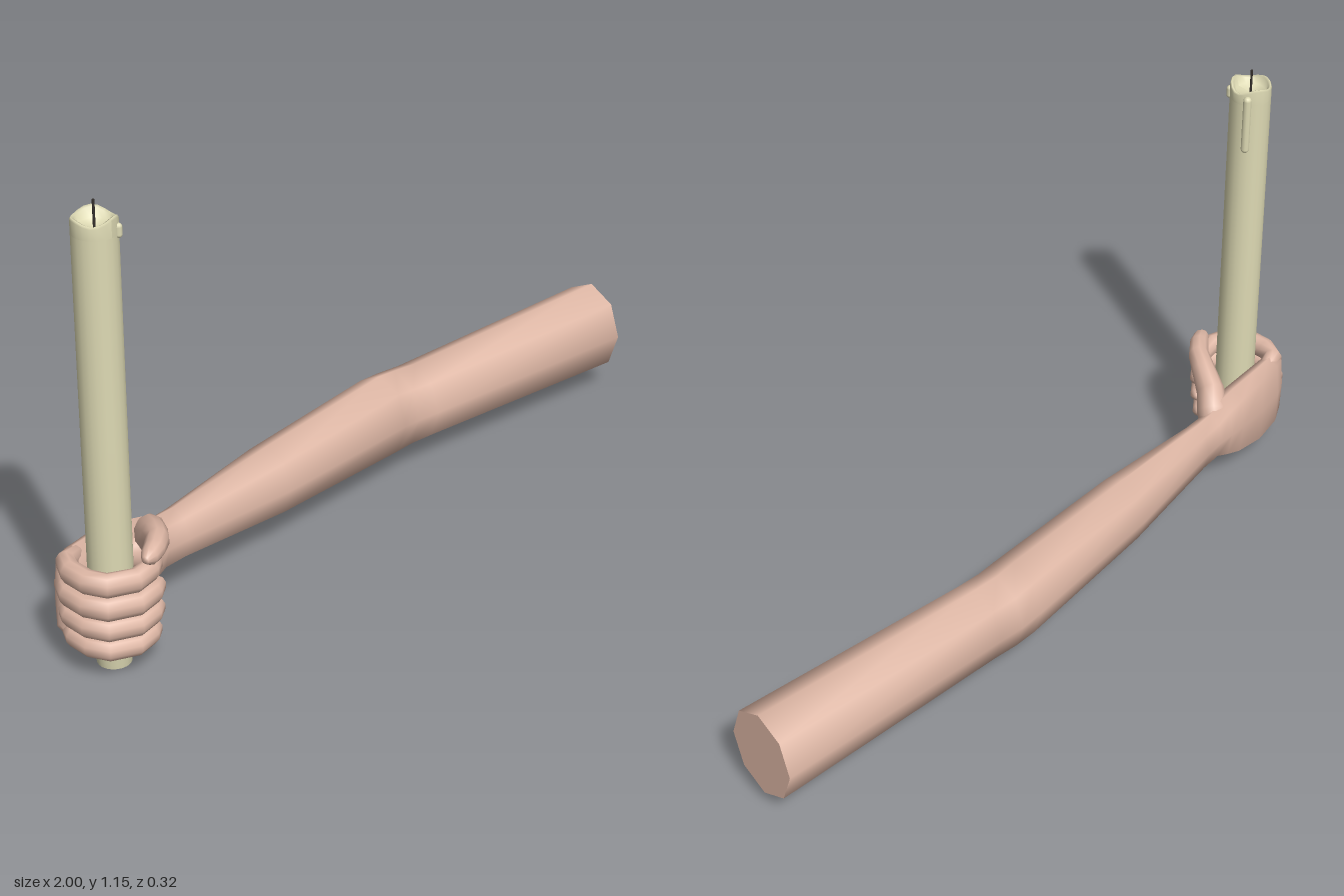
import * as THREE from 'three';

const skin = new THREE.MeshStandardMaterial({ color: 0xdfb8a6 });
skin.name = 'skin';
const wax = new THREE.MeshStandardMaterial({ color: 0xdedab4 });
wax.name = 'wax';
const wickBlack = new THREE.MeshStandardMaterial({ color: 0x35302c });
wickBlack.name = 'wick black';

const AXIS = { x: -0.882, z: 0.035 }; // candle axis

function add(parent, name, geometry, material) {
  const mesh = new THREE.Mesh(geometry, material);
  mesh.name = name;
  parent.add(mesh);
  return mesh;
}

// Skin tube through sections [x, y, z, half height, half width, squareness], with flat or shared end caps
function loft(sections, sides, flatStart = false) {
  const pos = [], index = [];
  const pts = sections.map(s => new THREE.Vector3(s[0], s[1], s[2]));
  const Y = new THREE.Vector3(0, 1, 0);
  sections.forEach((s, r) => {
    const t = pts[Math.min(r + 1, pts.length - 1)].clone().sub(pts[Math.max(r - 1, 0)]).normalize();
    const side = t.clone().cross(Y).normalize();
    const up = side.clone().cross(t);
    const bend = v => Math.abs(v) < 1e-6 ? 0 : Math.sign(v) * Math.abs(v) ** (s[5] ?? 1);
    for (let i = 0; i < sides; i++) {
      const a = i / sides * Math.PI * 2;
      const p = pts[r].clone().addScaledVector(up, s[3] * bend(Math.cos(a))).addScaledVector(side, s[4] * bend(Math.sin(a)));
      pos.push(p.x, p.y, p.z);
    }
  });
  const last = sections.length - 1;
  for (let r = 0; r < last; r++) {
    for (let i = 0; i < sides; i++) {
      const j = (i + 1) % sides, a = r * sides, b = a + sides;
      index.push(a + i, a + j, b + i, a + j, b + j, b + i);
    }
  }
  // Caps
  let ring = 0;
  if (flatStart) {
    ring = pos.length / 3;
    pos.push(...pos.slice(0, sides * 3));
  }
  const c0 = pos.length / 3;
  pos.push(...pts[0].toArray(), ...pts[last].toArray());
  for (let i = 0; i < sides; i++) {
    const j = (i + 1) % sides, e = last * sides;
    index.push(c0, ring + j, ring + i, c0 + 1, e + i, e + j);
  }
  const g = new THREE.BufferGeometry();
  g.setAttribute('position', new THREE.Float32BufferAttribute(pos, 3));
  g.setIndex(index);
  g.computeVertexNormals();
  return g;
}

function buildArm() {
  const arm = new THREE.Group();
  arm.name = 'arm';
  // Upper arm, elbow, forearm, wrist and palm in one skin
  add(arm, 'armAndPalm', loft([
    [0.985, 0.165, 0.025, 0.125, 0.106],
    [0.32, 0.163, -0.06, 0.108, 0.092],
    [0.25, 0.164, -0.07, 0.11, 0.092],
    [0.19, 0.165, -0.072, 0.115, 0.09],
    [-0.25, 0.165, -0.064, 0.096, 0.08],
    [-0.58, 0.166, -0.058, 0.073, 0.046],
    [-0.645, 0.166, -0.057, 0.074, 0.043],
    [-0.69, 0.166, -0.057, 0.095, 0.045, 0.85],
    [-0.74, 0.165, -0.06, 0.108, 0.043, 0.65],
    [-0.83, 0.164, -0.064, 0.118, 0.037, 0.5],
    [-0.91, 0.167, -0.058, 0.114, 0.033, 0.5],
    [-0.95, 0.17, -0.048, 0.1, 0.026, 0.5],
    [-0.965, 0.17, -0.04, 0.08, 0.014, 0.5],
  ], 8, true), skin);

  // Heel of the thumb and of the little finger
  const pads = [[-0.715, 0.2, -0.025, 0.06, 0.05, 0.035], [-0.755, 0.115, -0.035, 0.07, 0.055, 0.035]];
  pads.forEach(([x, y, z, rx, ry, rz]) => {
    const pad = add(arm, 'palmPad', new THREE.SphereGeometry(1, 14, 10), skin);
    pad.position.set(x, y, z);
    pad.scale.set(rx, ry, rz);
  });

  // Four fingers curled round the candle: name, height, thickness, reach about the candle
  const fingers = [
    ['indexFinger', 0.256, 0.029, 0.97],
    ['middleFinger', 0.198, 0.029, 1.03],
    ['ringFinger', 0.141, 0.027, 1.0],
    ['littleFinger', 0.084, 0.026, 0.92],
  ];
  const curl = [
    [-0.9, -0.06, 0.8], [-0.942, -0.05, 1], [-0.966, -0.01, 1.02], [-0.971, 0.05, 1.02],
    [-0.953, 0.097, 1.02], [-0.89, 0.126, 1], [-0.835, 0.118, 0.95], [-0.803, 0.102, 0.75], [-0.79, 0.094, 0.3],
  ];
  fingers.forEach(([name, y, r, reach]) => {
    add(arm, name, loft(curl.map(([x, z, k], i) => [
      AXIS.x + (x - AXIS.x) * reach, y - (i > 4 ? 0.003 : 0), AXIS.z + (z - AXIS.z) * reach, r * k, 0.026 * k,
    ]), 10), skin);
  });

  // Thumb
  add(arm, 'thumb', loft([
    [-0.655, 0.19, -0.055, 0.03, 0.03],
    [-0.685, 0.215, -0.035, 0.052, 0.043],
    [-0.72, 0.25, 0.0, 0.046, 0.037],
    [-0.752, 0.282, 0.05, 0.036, 0.031],
    [-0.782, 0.295, 0.088, 0.031, 0.028],
    [-0.82, 0.299, 0.115, 0.027, 0.026],
    [-0.85, 0.299, 0.129, 0.022, 0.021],
    [-0.868, 0.299, 0.134, 0.009, 0.009],
  ], 10), skin);
  return arm;
}

function buildCandle() {
  const candle = new THREE.Group();
  candle.name = 'candle';
  candle.position.set(AXIS.x, 0, AXIS.z);
  const lathe = points => new THREE.LatheGeometry(points.map(p => new THREE.Vector2(...p)), 20);

  // Base disc, tapered foot and body
  add(candle, 'base', lathe([[0, 0], [0.041, 0]]), wax);
  add(candle, 'body', lathe([[0.041, 0], [0.048, 0.055], [0.053, 0.12], [0.053, 0.6], [0.053, 1.08]]), wax);

  // Uneven melted rim with a hollow inside
  const rim = lathe([[0.053, 1.08], [0.053, 1.112], [0.05, 1.117], [0.044, 1.114], [0.038, 1.096], [0, 1.09]]);
  const p = rim.attributes.position;
  for (let i = 0; i < p.count; i++) {
    if (p.getY(i) < 1.1) continue;
    const a = Math.atan2(p.getX(i), p.getZ(i));
    p.setY(i, p.getY(i) + 0.006 * Math.sin(3 * a + 0.6) + 0.003 * Math.cos(2 * a));
  }
  rim.computeVertexNormals();
  add(candle, 'meltedRim', rim, wax);

  // Wax drips: x, z, bottom, top, radius
  const drips = [[0.05, -0.026, 0.945, 1.108, 0.011], [0.026, 0.046, 1.07, 1.105, 0.009]];
  drips.forEach(([x, z, bottom, top, r]) => {
    const drip = add(candle, 'waxDrip', new THREE.CapsuleGeometry(r, top - bottom - 2 * r, 4, 10), wax);
    drip.position.set(x, (top + bottom) / 2, z);
  });

  const wick = add(candle, 'wick', new THREE.CylinderGeometry(0.003, 0.003, 0.067, 8), wickBlack);
  wick.position.y = 1.1215;
  return candle;
}

export function createModel() {
  const model = new THREE.Group();
  model.name = 'armHoldingCandle';
  model.add(buildArm(), buildCandle());
  return model;
}
